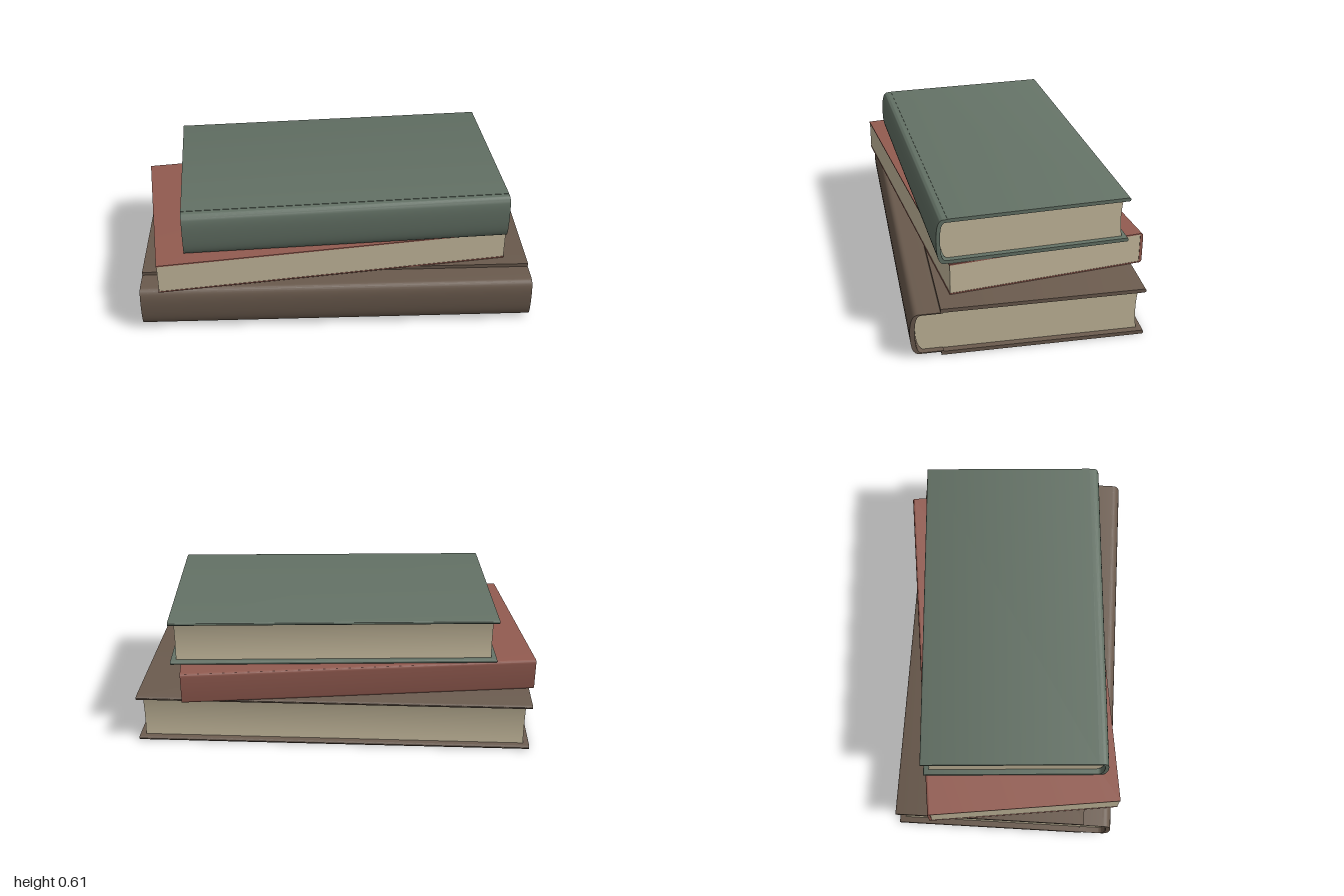
import * as THREE from 'three';
import { toCreasedNormals } from 'three/addons/utils/BufferGeometryUtils.js';

const mat = (name, color) => {
  const m = new THREE.MeshStandardMaterial({ color });
  m.name = name;
  return m;
};

// Extrude a cross-section (shape x = depth z, shape y = height) along x, centred.
function along(shape, length) {
  const g = new THREE.ExtrudeGeometry(shape, { depth: length, bevelEnabled: false, curveSegments: 10 });
  g.rotateY(-Math.PI / 2);
  g.translate(length / 2, 0, 0);
  return toCreasedNormals(g, 0.7);
}

function add(group, name, geometry, material) {
  const mesh = new THREE.Mesh(geometry, material);
  mesh.name = name;
  group.add(mesh);
  return mesh;
}

// Cover board with a rounded fore-edge at z0
function boardShape(z0, z1, y0, y1) {
  const r = (y1 - y0) / 2;
  const s = new THREE.Shape();
  s.moveTo(z1, y0);
  s.lineTo(z1, y1);
  s.lineTo(z0 + r, y1);
  s.absarc(z0 + r, y0 + r, r, Math.PI / 2, Math.PI * 1.5, false);
  s.closePath();
  return s;
}

// Curved spine shell wrapping the back of the pages
function spineShape(hinge, front, y0, y1, bulge, thick, flap) {
  const h = y1 - y0, a = front - bulge, b = front - thick;
  const s = new THREE.Shape();
  s.moveTo(hinge, y0);
  s.lineTo(a, y0);
  s.bezierCurveTo(a + bulge * 0.7, y0, front, y0 + h * 0.15, front, y0 + h * 0.5);
  s.bezierCurveTo(front, y1 - h * 0.15, a + bulge * 0.7, y1, a, y1);
  s.lineTo(hinge, y1);
  s.lineTo(hinge, y1 - flap);
  s.lineTo(a - thick * 0.5, y1 - flap);
  s.bezierCurveTo(a + bulge * 0.3, y1 - flap, b, y1 - h * 0.2, b, y0 + h * 0.5);
  s.bezierCurveTo(b, y0 + h * 0.2, a + bulge * 0.3, y0 + flap, a - thick * 0.5, y0 + flap);
  s.lineTo(hinge, y0 + flap);
  s.closePath();
  return s;
}

// Page block: hollow fore-edge at z0, rounded back at z1
function pageShape(z0, z1, y0, y1, hollow, round) {
  const m = (y0 + y1) / 2, h = y1 - y0;
  const s = new THREE.Shape();
  s.moveTo(z0, y0);
  s.lineTo(z1 - round, y0);
  s.bezierCurveTo(z1 - round * 0.4, y0, z1, y0 + h * 0.2, z1, m);
  s.bezierCurveTo(z1, y1 - h * 0.2, z1 - round * 0.4, y1, z1 - round, y1);
  s.lineTo(z0, y1);
  s.quadraticCurveTo(z0 + hollow * 2, m, z0, y0);
  return s;
}

function hardback(o, cover, paper) {
  const g = new THREE.Group();
  g.name = o.name;
  const f = o.depth / 2, { width, height, board, over } = o;
  const hinge = f - o.hinge;
  add(g, 'lowerBoard', along(boardShape(-f, hinge, 0, board), width), cover);
  add(g, 'upperBoard', along(boardShape(-f, hinge, height - board, height), width), cover);
  add(g, 'spine', along(spineShape(hinge - 0.01, f, o.inset, height - o.inset,
    o.bulge, o.thick, o.flap), width), cover);
  add(g, 'pages', along(pageShape(-f + over, f - o.thick - 0.003, o.pageInset, height - o.pageInset,
    0.008, o.bulge), width - over * 2), paper);
  return g;
}

function paperback(width, depth, height, cover, paper) {
  const g = new THREE.Group();
  g.name = 'middleBook';
  const f = depth / 2, t = 0.006, r = 0.012;
  // One folded cover, spine at the back
  const s = new THREE.Shape();
  s.moveTo(f, 0);
  s.lineTo(f, t);
  s.lineTo(-f + 0.014, t);
  s.lineTo(-f + 0.014, height - t);
  s.lineTo(f, height - t);
  s.lineTo(f, height);
  s.lineTo(-f + r, height);
  s.quadraticCurveTo(-f, height, -f, height - r * 1.6);
  s.lineTo(-f, r * 1.6);
  s.quadraticCurveTo(-f, 0, -f + r, 0);
  s.closePath();
  add(g, 'cover', along(s, width), cover);
  const pages = new THREE.BoxGeometry(width - 0.004, height - t * 2, depth - 0.016);
  add(g, 'pages', pages, paper).position.set(0, height / 2, 0.006);
  return g;
}

export function createModel() {
  const paper = mat('paper', 0xc8bc9f);
  const brown = mat('brownCover', 0x6a5a4d);
  const red = mat('redCover', 0x925b50);
  const green = mat('greenCover', 0x637165);

  const model = new THREE.Group();
  model.name = 'bookStack';

  // Large hardback at the bottom
  const bottom = hardback({
    name: 'bottomBook', width: 1.872, depth: 1.06, height: 0.237, board: 0.018, over: 0.028,
    hinge: 0.137, inset: 0.017, bulge: 0.042, thick: 0.022, flap: 0.005, pageInset: 0.0195,
  }, brown, paper);
  bottom.rotation.y = 0.137;

  // Paperback turned the other way round
  const middle = paperback(1.68, 0.923, 0.153, red, paper);
  middle.position.set(-0.0675, 0.237, -0.0025);
  middle.rotation.y = 0.268;

  // Smaller hardback on top
  const top = hardback({
    name: 'topBook', width: 1.54, depth: 0.882, height: 0.22, board: 0.017, over: 0.025,
    hinge: 0.052, inset: 0.002, bulge: 0.034, thick: 0.018, flap: 0.015, pageInset: 0.0165,
  }, green, paper);
  top.position.set(0.025, 0.39, -0.005);
  top.rotation.y = 0.199;

  model.add(bottom, middle, top);
  return model;
}
